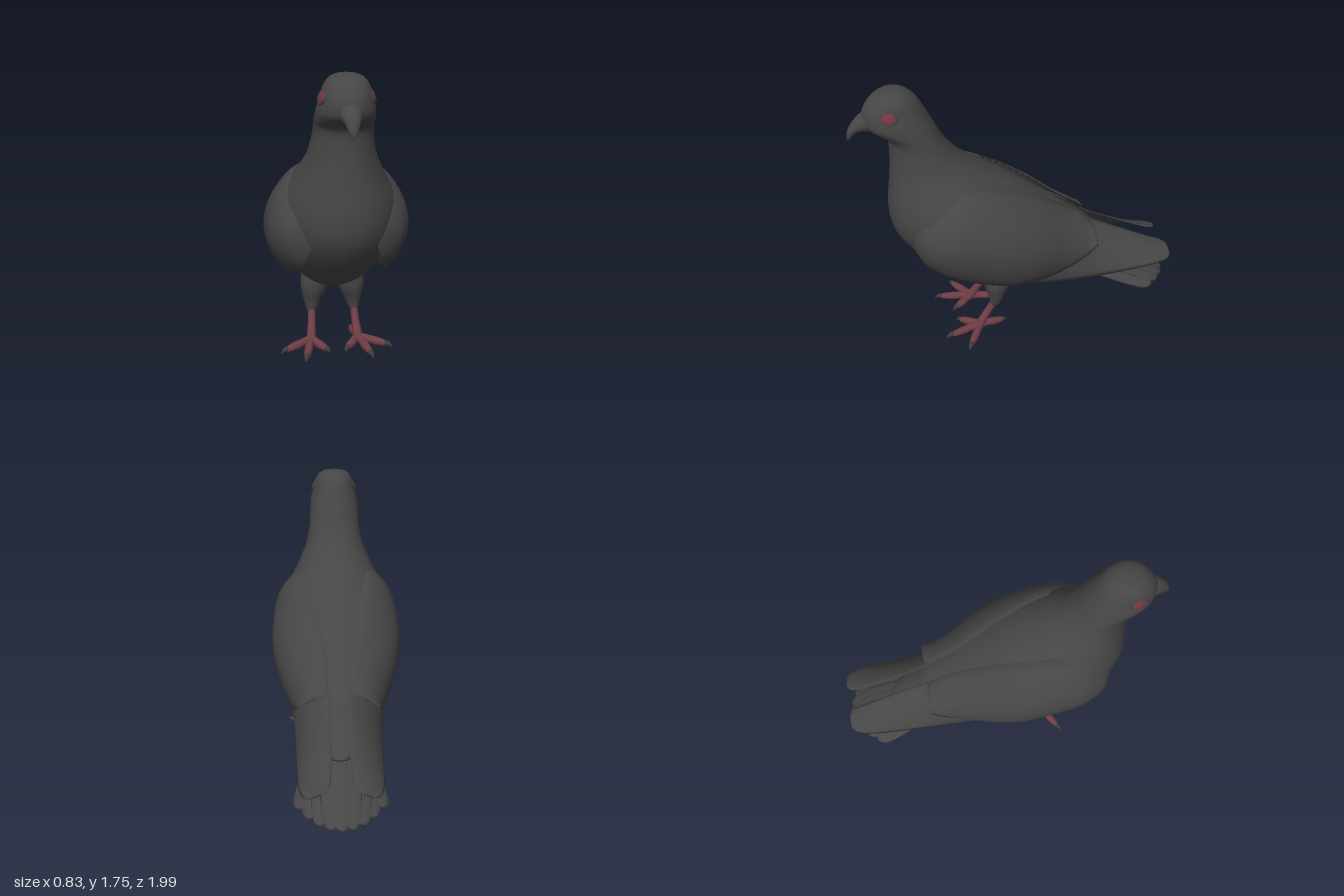
import * as THREE from 'three';

const V = (x, y, z) => new THREE.Vector3(x, y, z);
const mat = (name, color) => Object.assign(new THREE.MeshStandardMaterial({ color }), { name });

// Catmull-Rom smoothing of rows of numbers, n steps per span
function smooth(rows, n) {
  const out = [], last = rows.length - 1;
  for (let i = 0; i < last; i++) {
    const [a, b, c, d] = [i - 1, i, i + 1, i + 2].map(k => rows[Math.min(last, Math.max(0, k))]);
    for (let s = 0; s < n; s++) {
      const t = s / n;
      out.push(b.map((_, k) => b[k] + 0.5 * t * (c[k] - a[k] + t * (2 * a[k] - 5 * b[k] + 4 * c[k] - d[k]
        + t * (3 * (b[k] - c[k]) + d[k] - a[k])))));
    }
  }
  out.push(rows[last]);
  return out;
}

// Closed skin over a list of rings, always facing outward
function loft(rings) {
  const m = rings[0].length, n = rings.length, pts = rings.flat(), idx = [];
  const middle = r => r.reduce((s, p) => s.add(p), V(0, 0, 0)).divideScalar(m);
  pts.push(middle(rings[0]), middle(rings[n - 1]));
  for (let j = 0; j < m; j++) {
    const k = (j + 1) % m;
    for (let i = 0; i < n - 1; i++) {
      const a = i * m + j, b = i * m + k;
      idx.push(a, b, a + m, b, b + m, a + m);
    }
    idx.push(n * m, k, j, n * m + 1, (n - 1) * m + j, (n - 1) * m + k);
  }
  const origin = pts[n * m], q = [V(), V(), V()];
  let volume = 0;
  for (let i = 0; i < idx.length; i += 3) {
    q.forEach((p, k) => p.copy(pts[idx[i + k]]).sub(origin));
    volume += q[0].dot(q[1].cross(q[2]));
  }
  if (volume < 0) idx.reverse();
  const g = new THREE.BufferGeometry().setFromPoints(pts);
  g.setIndex(idx);
  g.computeVertexNormals();
  return g;
}

// Rows: back z, back y, front z, front y, half width
function trunk(rows, sides, steps) {
  return loft(smooth(rows, steps).map(([z1, y1, z2, y2, w]) => Array.from({ length: sides }, (_, j) => {
    const a = j / sides * Math.PI * 2, c = Math.cos(a) / 2;
    return V(Math.max(w, 0.001) * Math.sin(a), (y1 + y2) / 2 + (y1 - y2) * c, (z1 + z2) / 2 + (z1 - z2) * c);
  })));
}

// Rows: z, top x, top y, bottom x, bottom y, bulge, thickness
function wingShell(rows, side) {
  const m = 16;
  return loft(smooth(rows, 5).map(([z, tx, ty, bx, by, bulge, thick]) => {
    const len = Math.hypot(bx - tx, by - ty), nx = (ty - by) / len, ny = (bx - tx) / len;
    return Array.from({ length: m * 2 }, (_, j) => {
      const t = j <= m ? j / m : 2 - j / m;
      const arch = Math.pow(Math.max(0, Math.sin(Math.PI * t)), 0.7) * (j <= m ? bulge : bulge - thick);
      return V(side * (tx + (bx - tx) * t + nx * arch), ty + (by - ty) * t + ny * arch, z);
    });
  }));
}

// Flat blade with a rounded tip, arched along its length and rolled outward away from the middle
function feather(base, tip, width, thick, arch) {
  const dir = tip.clone().sub(base).normalize();
  const across = V(base.x * 4, 1, 0).cross(dir).normalize(), up = dir.clone().cross(across);
  const rows = smooth([[0, 0.5], [0.3, 0.75], [0.65, 1], [0.88, 0.95], [0.97, 0.6], [1, 0.12]], 3);
  return loft(rows.map(([t, w]) => Array.from({ length: 12 }, (_, j) => {
    const a = j / 12 * Math.PI * 2;
    return base.clone().lerp(tip, t).addScaledVector(across, Math.cos(a) * w * width)
      .addScaledVector(up, Math.sin(a) * thick + Math.sin(Math.PI * t) * arch);
  })));
}

// Tapered round limb through points [x, y, z, radius]
function limb(rows) {
  const fine = smooth(rows, 5);
  const pts = fine.map(([x, y, z]) => V(x, y, z));
  return loft(fine.map(([, , , r], i) => {
    const t = pts[Math.min(i + 1, pts.length - 1)].clone().sub(pts[Math.max(i - 1, 0)]).normalize();
    const u = V(1, 0.1, 0.3).cross(t).normalize(), v = t.clone().cross(u);
    return Array.from({ length: 12 }, (_, j) => {
      const a = j / 12 * Math.PI * 2;
      return pts[i].clone().addScaledVector(u, Math.cos(a) * r).addScaledVector(v, Math.sin(a) * r);
    });
  }));
}

export function createModel() {
  const group = new THREE.Group();
  const plumage = mat('plumage grey', 0x464646);
  const skin = mat('leg red', 0x6e3d45);
  const iris = mat('iris red', 0x763642);
  const dark = mat('claw grey', 0x3e3c3c);
  const add = (name, geometry, material = plumage) => {
    const mesh = new THREE.Mesh(geometry, material);
    mesh.name = name;
    group.add(mesh);
    return mesh;
  };

  // Head, neck, breast and rump in one skin
  add('body', trunk([
    [0.72, 1.76, 0.74, 1.76, 0.01], [0.66, 1.75, 0.82, 1.738, 0.082], [0.605, 1.705, 0.875, 1.69, 0.12],
    [0.568, 1.64, 0.905, 1.63, 0.137], [0.54, 1.58, 0.9, 1.57, 0.153], [0.51, 1.52, 0.86, 1.53, 0.158],
    [0.48, 1.45, 0.79, 1.48, 0.16], [0.435, 1.38, 0.778, 1.4, 0.168], [0.36, 1.29, 0.785, 1.28, 0.195],
    [0.22, 1.18, 0.8, 1.16, 0.25], [0.06, 1.07, 0.82, 1.0, 0.32], [-0.08, 0.96, 0.8, 0.85, 0.35],
    [-0.22, 0.85, 0.71, 0.7, 0.35], [-0.34, 0.75, 0.56, 0.55, 0.32], [-0.42, 0.69, 0.4, 0.44, 0.28],
    [-0.46, 0.65, 0.2, 0.36, 0.245], [-0.5, 0.6, -0.1, 0.345, 0.205], [-0.57, 0.53, -0.33, 0.36, 0.165],
    [-0.64, 0.46, -0.5, 0.365, 0.12], [-0.68, 0.42, -0.6, 0.375, 0.04],
  ], 40, 4));

  // Hooked beak with the swollen cere above it
  add('beak', trunk([
    [0.84, 1.64, 0.84, 1.53, 0.065], [0.9, 1.637, 0.89, 1.528, 0.06], [0.942, 1.607, 0.93, 1.528, 0.045],
    [0.978, 1.565, 0.957, 1.515, 0.032], [0.997, 1.52, 0.975, 1.495, 0.018], [0.998, 1.483, 0.985, 1.48, 0.004],
  ], 20, 4));

  // Arched fan of tail feathers, the middle ones longest
  for (let i = -4; i <= 4; i++) {
    const q = i * i;
    add('tailFeather', feather(V(i * 0.024, 0.455 - q * 0.004, -0.3),
      V(i * 0.06, 0.17 + q * 0.0022, -0.99 + q * 0.01), 0.058, 0.013, 0.078 - q * 0.0045));
  }

  for (const s of [1, -1]) {
    const label = s > 0 ? 'left' : 'right';

    // Folded wing: covert shell growing out of the breast, over the long flight feathers
    add(label + 'WingCoverts', wingShell([
      [0.72, 0.17, 0.95, 0.18, 0.82, 0.02, 0.02], [0.69, 0.185, 1.0, 0.2, 0.74, 0.075, 0.07],
      [0.63, 0.195, 1.07, 0.225, 0.66, 0.13, 0.11], [0.5, 0.215, 1.155, 0.265, 0.58, 0.158, 0.12],
      [0.35, 0.2, 1.19, 0.285, 0.52, 0.165, 0.12],
      [0.15, 0.16, 1.115, 0.295, 0.465, 0.178, 0.12], [-0.05, 0.105, 1.0, 0.29, 0.465, 0.158, 0.11],
      [-0.22, 0.07, 0.87, 0.28, 0.51, 0.1, 0.06], [-0.36, 0.06, 0.77, 0.258, 0.57, 0.054, 0.035],
      [-0.43, 0.08, 0.7, 0.245, 0.62, 0.03, 0.02],
    ], s));
    add(label + 'FlightFeathers', wingShell([
      [0.22, 0.2, 0.85, 0.27, 0.5, 0.07, 0.04], [0.05, 0.16, 0.9, 0.275, 0.445, 0.09, 0.04],
      [-0.2, 0.08, 0.86, 0.27, 0.4, 0.07, 0.04], [-0.45, 0.05, 0.69, 0.26, 0.378, 0.04, 0.03],
      [-0.7, 0.05, 0.55, 0.25, 0.37, 0.03, 0.025], [-0.86, 0.055, 0.465, 0.238, 0.37, 0.022, 0.025],
      [-0.94, 0.065, 0.43, 0.215, 0.37, 0.018, 0.025], [-0.975, 0.1, 0.415, 0.18, 0.38, 0.01, 0.015],
    ], s));

    // Almond eye lying along the cheek, with a grey lid ring
    const eye = (name, geometry, material, sx) => {
      const mesh = add(label + name, geometry, material);
      mesh.position.set(s * 0.128, 1.65, 0.772);
      mesh.rotation.set(0, -s * 0.22, s * 0.36);
      mesh.scale.set(sx, 0.85, 1);
    };
    eye('Iris', new THREE.SphereGeometry(0.04, 20, 14), iris, 0.3);
    eye('Eyelid', new THREE.TorusGeometry(0.041, 0.007, 8, 24).rotateY(Math.PI / 2), plumage, 1);

    // Feathered thigh and bare shank
    add(label + 'Thigh', limb([[s * 0.09, 0.52, 0.2, 0.07], [s * 0.1, 0.43, 0.2, 0.09],
      [s * 0.117, 0.35, 0.205, 0.083], [s * 0.127, 0.27, 0.21, 0.056], [s * 0.132, 0.195, 0.225, 0.03]]));
    add(label + 'Shank', limb([[s * 0.132, 0.24, 0.21, 0.024], [s * 0.135, 0.15, 0.265, 0.024],
      [s * 0.142, 0.08, 0.31, 0.028], [s * 0.145, 0.04, 0.33, 0.03]]), skin);

    // Three front toes and one hind toe, each with a claw
    for (const [x, y, z] of [[0.19, 0.045, 0.52], [0.3, 0.04, 0.42], [0.065, 0.04, 0.44], [0.125, 0.03, 0.18]]) {
      const at = (t, h, r) => [s * (0.145 + (x - 0.145) * t), 0.045 + (y - 0.045) * t + h, 0.325 + (z - 0.325) * t, r];
      add(label + 'Toe', limb([at(0, 0, 0.028), at(0.35, 0.003, 0.024), at(0.6, 0, 0.026),
        at(0.85, 0, 0.022), at(1.02, 0, 0.017)]), skin);
      add(label + 'Claw', limb([at(0.97, 0.002, 0.016), at(1.1, 0.003, 0.014), at(1.23, -0.012, 0.004)]), dark);
    }
  }
  return group;
}
